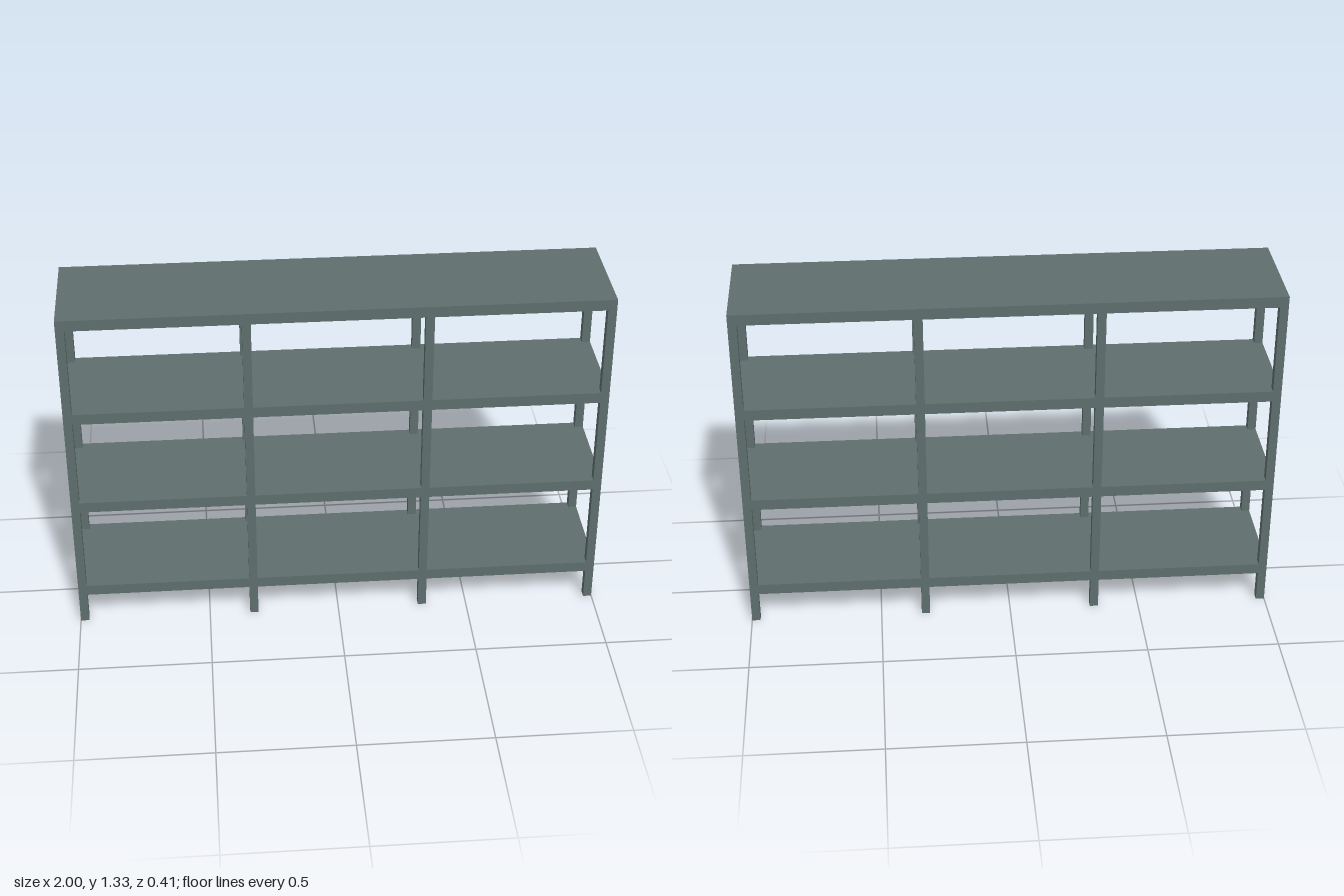
import * as THREE from 'three';

const LENGTH = 2, DEPTH = 0.41, HEIGHT = 1.325;
const POST = 0.032, THICK = 0.042;

export function createModel() {
  const model = new THREE.Group();
  model.name = 'shelvingUnit';
  const material = new THREE.MeshStandardMaterial({ color: 0x5f6e6e });

  const addBox = (name, w, h, d, x, y, z) => {
    const mesh = new THREE.Mesh(new THREE.BoxGeometry(w, h, d), material);
    mesh.name = name;
    mesh.position.set(x, y, z);
    model.add(mesh);
  };

  // Four full-size boards; the highest one caps the posts
  const boardTops = [0.165, 0.55, 0.937, HEIGHT];
  boardTops.forEach((top, i) => {
    const name = i === boardTops.length - 1 ? 'topBoard' : `shelf${i + 1}`;
    addBox(name, LENGTH, THICK, DEPTH, 0, top - THICK / 2, 0);
  });

  // Four pairs of square posts, flush with the board edges
  const postHeight = HEIGHT - THICK;
  const endX = (LENGTH - POST) / 2, edgeZ = (DEPTH - POST) / 2;
  for (let i = 0; i < 4; i++) {
    const x = -endX + (2 * endX * i) / 3;
    addBox(`frontPost${i + 1}`, POST, postHeight, POST, x, postHeight / 2, edgeZ);
    addBox(`backPost${i + 1}`, POST, postHeight, POST, x, postHeight / 2, -edgeZ);
  }
  return model;
}
